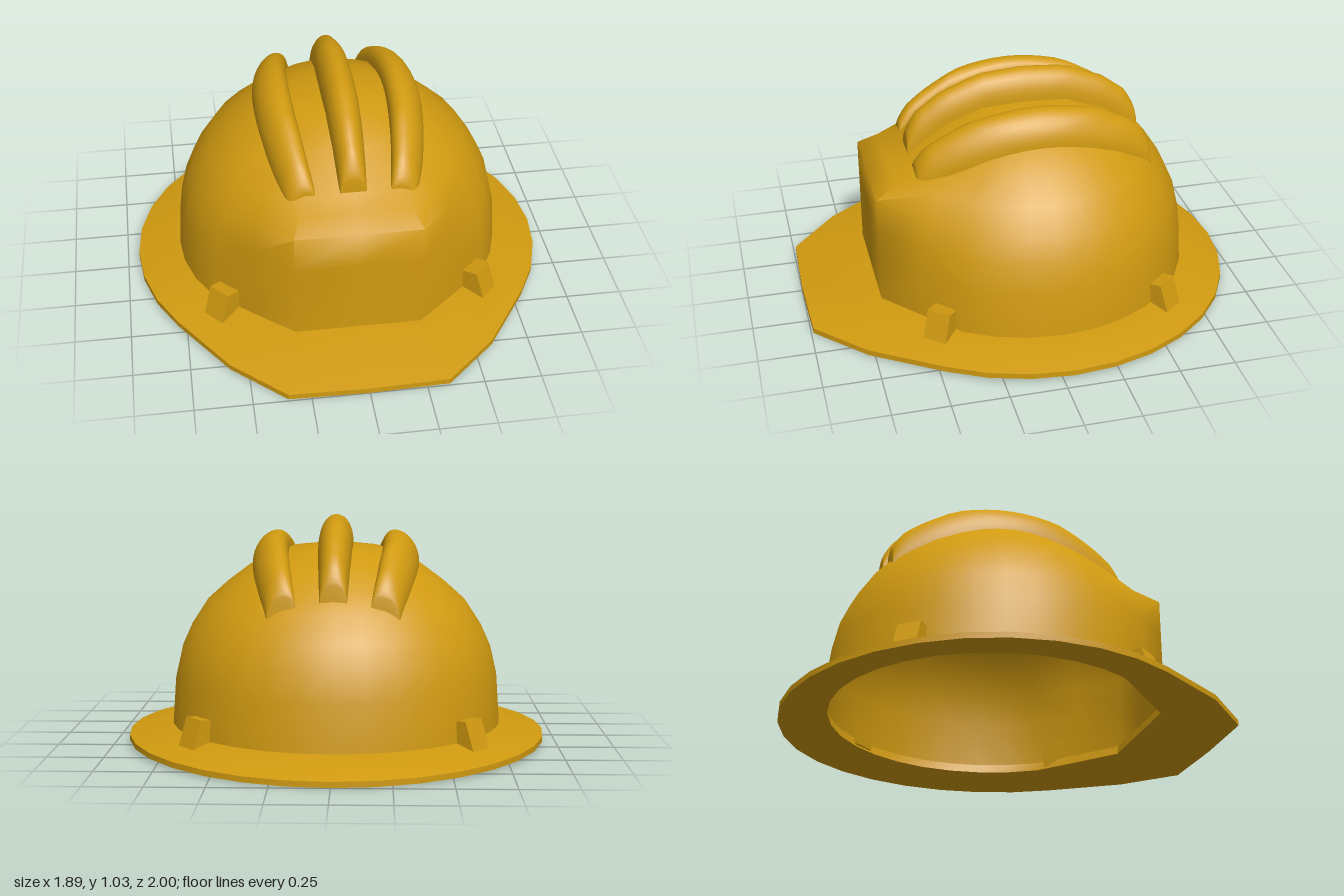
import * as THREE from 'three';
import { toCreasedNormals } from 'three/addons/utils/BufferGeometryUtils.js';

const CZ = -0.05; // centre of the dome in z
const material = new THREE.MeshStandardMaterial({ color: 0xd09a10, side: THREE.DoubleSide });

// Skin a list of rows of [x, y, z]; rows have equal length, closed joins each row end to start
function loft(rows, closed, crease) {
  const n = rows[0].length, index = [];
  for (let j = 0; j < rows.length - 1; j++) {
    for (let i = 0; i < (closed ? n : n - 1); i++) {
      const a = j * n + i, b = j * n + (i + 1) % n, c = a + n, d = b + n;
      index.push(a, c, b, b, c, d);
    }
  }
  const g = new THREE.BufferGeometry();
  g.setAttribute('position', new THREE.Float32BufferAttribute(rows.flat(2), 3));
  g.setIndex(index);
  return toCreasedNormals(g, crease);
}

// Radius / height of the round dome, and of its flat front panel
const round = [[0, 0.9], [0.2, 0.885], [0.375, 0.815], [0.49, 0.73], [0.585, 0.645],
  [0.66, 0.53], [0.705, 0.43], [0.735, 0.3], [0.75, 0.08]];
const front = [[0, 0.9], [0.2, 0.885], [0.375, 0.815], [0.54, 0.69], [0.63, 0.645],
  [0.72, 0.597], [0.72, 0.43], [0.72, 0.3], [0.72, 0.08]];

function domeHeight(r) {
  let k = 1;
  while (k < round.length - 1 && round[k][0] < r) k++;
  const [r0, y0] = round[k - 1], [r1, y1] = round[k];
  return y0 + (y1 - y0) * (r - r0) / (r1 - r0);
}

// Plan columns: dome foot, brim edge (both relative to the dome centre), share of the front panel
function planColumns() {
  const half = [
    { foot: [0.28, 0.72], edge: [0.35, 1.04], w: 1 },
    { foot: [0.45, 0.572], edge: [0.58, 0.83], w: 0.5 },
  ];
  const cols = [{ foot: [0, 0.72], edge: [0, 1.05], w: 1 }, ...half];
  for (let k = 5; k <= 27; k++) {
    const a = k * Math.PI / 16, s = Math.sin(a), c = Math.cos(a);
    cols.push({ foot: [0.75 * s, 0.75 * c], edge: [0.947 * s, 0.947 * c], w: 0 });
  }
  for (const h of half.slice().reverse()) {
    cols.push({ foot: [-h.foot[0], h.foot[1]], edge: [-h.edge[0], h.edge[1]], w: h.w });
  }
  return cols;
}

function domeGeometry(cols) {
  const rows = round.map(([r, y], j) => cols.map(({ foot, w }) => {
    const f = THREE.MathUtils.lerp(r / 0.75, front[j][0] / 0.72, w);
    return [foot[0] * f, THREE.MathUtils.lerp(y, front[j][1], w), CZ + foot[1] * f];
  }));
  return loft(rows, true, 1.2);
}

// Sloping brim that dips slightly at the front and back
function brimGeometry(cols) {
  const outer = lift => cols.map(({ edge }) => {
    const z = edge[1] + CZ;
    return [edge[0], 0.02 - 0.02 * z * z + lift, z];
  });
  const inner = (scale, y) => cols.map(({ foot }) => [foot[0] * scale, y, CZ + foot[1] * scale]);
  const top = inner(0.985, 0.09);
  return loft([top, inner(1, 0.09), outer(0.025), outer(0), inner(0.975, 0.05), top], true, 0.5);
}

// Rounded rib following the dome from back to front, with steep ends
function ribGeometry(centre, width, height) {
  const stations = [];
  const N = 28, mid = -0.045, reach = 0.535;
  for (let i = 0; i <= N; i++) {
    const t = -Math.cos(Math.PI * i / N);
    stations.push([t, 0.52 + 0.48 * Math.min(1, Math.sqrt((1 - Math.abs(t)) / 0.1))]);
  }
  stations.unshift([-1, 0]);
  stations.push([1, 0]);
  const rows = stations.map(([t, k]) => {
    const z = mid + reach * t, s = 1 - 0.25 * t * t, row = [];
    for (let i = -1; i <= 15; i++) {
      const a = Math.PI * THREE.MathUtils.clamp(i / 14, 0, 1);
      const x = s * (centre + width * Math.cos(a));
      const sunk = i < 0 || i > 14 || k === 0;
      const rise = sunk ? -0.03 : height * k * Math.pow(Math.sin(a), 0.9);
      row.push([x, domeHeight(Math.hypot(x, z - CZ)) + rise, z]);
    }
    return row;
  });
  return loft(rows, false, 0.7);
}

// Accessory slot: a wedge leaning against the dome
function slotGeometry() {
  const s = new THREE.Shape([[0.72, 0.06], [0.835, 0.06], [0.79, 0.19], [0.71, 0.18]]
    .map(p => new THREE.Vector2(...p)));
  const g = new THREE.ExtrudeGeometry(s, { depth: 0.11, bevelEnabled: false });
  return g.translate(0, 0, -0.055);
}

export function createModel() {
  const model = new THREE.Group();
  model.name = 'hardHat';
  const add = (name, geometry) => {
    const mesh = new THREE.Mesh(geometry, material);
    mesh.name = name;
    model.add(mesh);
    return mesh;
  };

  const cols = planColumns();
  add('dome', domeGeometry(cols));
  add('brim', brimGeometry(cols));

  // Three ribs over the crown
  add('centreRib', ribGeometry(0, 0.078, 0.13));
  add('leftRib', ribGeometry(0.295, 0.082, 0.105));
  add('rightRib', ribGeometry(-0.295, 0.082, 0.105));

  // Four slots around the foot of the dome
  const slot = slotGeometry();
  const turn = 0.715;
  [['frontLeftSlot', -turn], ['backLeftSlot', turn],
    ['frontRightSlot', Math.PI + turn], ['backRightSlot', Math.PI - turn]].forEach(([name, angle]) => {
    const mesh = add(name, slot);
    mesh.rotation.y = angle;
    mesh.position.z = CZ;
  });
  return model;
}
